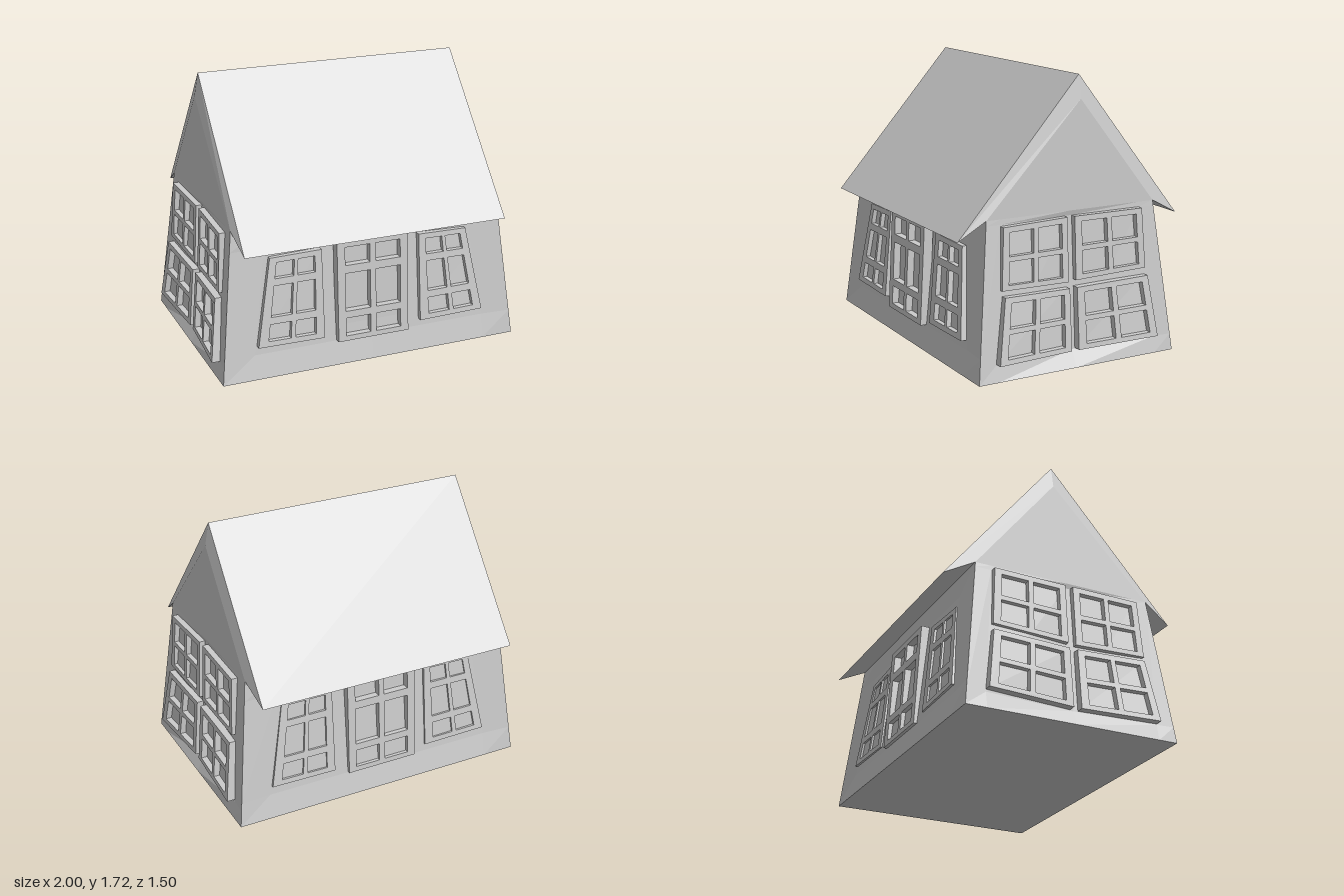
import * as THREE from 'three';

const material = new THREE.MeshStandardMaterial({ color: 0xcccccc, flatShading: true });

function addMesh(group, name, geometry) {
  const mesh = new THREE.Mesh(geometry, material);
  mesh.name = name;
  group.add(mesh);
}

// Flat-shaded sheet; rows run bottom to top, points left to right seen from outside
function sheet(rows) {
  const p = [];
  for (let r = 0; r < rows.length - 1; r++) {
    for (let c = 0; c < rows[r].length - 1; c++) {
      const a = rows[r][c], b = rows[r][c + 1], d = rows[r + 1][c], e = rows[r + 1][c + 1];
      p.push(...a, ...b, ...e, ...a, ...e, ...d);
    }
  }
  const g = new THREE.BufferGeometry();
  g.setAttribute('position', new THREE.Float32BufferAttribute(p, 3));
  g.computeVertexNormals();
  return g;
}

// Mirrored copies reverse each row so that faces stay outward
const mirrorX = (rows, s) =>
  s > 0 ? rows : rows.map(row => row.map(([x, y, z]) => [-x, y, z]).reverse());
const toBack = (rows, s, shift) =>
  s > 0 ? rows : rows.map(row => row.map(([x, y, z]) => [x, y, shift - z]).reverse());

// Skewed window frame with paned openings; rows = [[bottomLeft, bottomRight], [topLeft, topRight]]
function windowPanel(group, name, rows, us, vs, depth, inward) {
  const shape = new THREE.Shape([[0, 0], [1, 0], [1, 1], [0, 1]].map(q => new THREE.Vector2(...q)));
  for (const [u0, u1] of us) {
    for (const [v0, v1] of vs) {
      shape.holes.push(new THREE.Path(
        [[u0, v0], [u0, v1], [u1, v1], [u1, v0]].map(q => new THREE.Vector2(...q))));
    }
  }
  const [[a, b], [d, c]] = rows.map(row => row.map(q => new THREE.Vector3(...q)));
  const place = (u, v, w) => {
    const low = a.clone().lerp(b, u), high = d.clone().lerp(c, u);
    return low.lerp(high, v).addScaledVector(inward, (1 - w) * depth);
  };
  const frame = new THREE.ExtrudeGeometry(shape, { depth: 1, bevelEnabled: false });
  const pos = frame.attributes.position;
  for (let i = 0; i < pos.count; i++) {
    const q = place(pos.getX(i), pos.getY(i), pos.getZ(i));
    pos.setXYZ(i, q.x, q.y, q.z);
  }
  frame.computeVertexNormals();
  addMesh(group, name + 'Frame', frame);
  const pane = (u, v) => place(u, v, 0.25).toArray();
  addMesh(group, name + 'Pane', sheet([
    [pane(0.03, 0.03), pane(0.97, 0.03)],
    [pane(0.03, 0.97), pane(0.97, 0.97)]]));
}

export function createModel() {
  const house = new THREE.Group();
  house.name = 'house';

  // Sloping corner edges of the body
  const H = 0.93;
  const ex = y => 0.97 - 0.1 * y / H;
  const ez = y => 0.68 - 0.1 * y / H;
  const bz = y => 0.02 - ez(y);

  // Front and back walls, slightly dished
  const wallRow = (y, inX, inZ) => [
    [-ex(y), y, ez(y)], [-inX, y, inZ], [0, y, inZ], [inX, y, inZ], [ex(y), y, ez(y)]];
  const longWall = [
    wallRow(0, 0.76, 0.68), wallRow(0.15, 0.76, 0.65),
    wallRow(0.8, 0.67, 0.582), wallRow(H, 0.66, 0.58)];
  addMesh(house, 'frontWall', sheet(longWall));
  addMesh(house, 'backWall', sheet(toBack(longWall, -1, 0.02)));

  // End walls, bowed in at the middle
  const endRow = (y, zF, zB, xOut, xMid) => [
    [ex(y), y, ez(y)], [xOut, y, zF], [xMid, y, 0.03], [xOut, y, zB], [ex(y), y, bz(y)]];
  const endWall = [
    endRow(0, 0.56, -0.53, 0.97, 0.97), endRow(0.1, 0.56, -0.53, 0.95, 0.915),
    endRow(0.9, 0.49, -0.46, 0.872, 0.862), endRow(H, 0.49, -0.46, 0.87, 0.87)];

  // Roof section points
  const eF = [0.845, 0.82, 0.75], eB = [0.845, 0.83, -0.75], ridge = [0.845, 1.72, -0.04];
  const gF = [0.87, H, 0.58], gB = [0.87, H, -0.56], gTop = [0.87, 1.58, -0.04];
  const flip = ([x, y, z]) => [-x, y, z];

  for (const s of [1, -1]) {
    const side = s > 0 ? 'left' : 'right';
    addMesh(house, side + 'Wall', sheet(mirrorX(endWall, s)));
    addMesh(house, side + 'Gable', sheet(mirrorX([[gF, gB], [gTop, gTop]], s)));
    addMesh(house, side + 'FrontBargeboard', sheet(mirrorX([[eF, gF], [ridge, gTop]], s)));
    addMesh(house, side + 'BackBargeboard', sheet(mirrorX([[gB, eB], [gTop, ridge]], s)));

    // Four skewed windows on each end wall
    const windows = {
      UpperFront: [[[0.93, 0.525, 0.51], [0.92, 0.515, 0.06]], [[0.91, 0.89, 0.49], [0.9, 0.9, 0.06]]],
      UpperBack: [[[0.92, 0.52, 0.01], [0.93, 0.535, -0.475]], [[0.9, 0.9, 0.01], [0.91, 0.9, -0.455]]],
      LowerFront: [[[1, 0.105, 0.56], [0.965, 0.105, 0.06]], [[0.95, 0.49, 0.5], [0.935, 0.48, 0.06]]],
      LowerBack: [[[0.965, 0.105, 0.01], [1, 0.115, -0.53]], [[0.935, 0.48, 0.01], [0.95, 0.49, -0.48]]],
    };
    for (const [key, rows] of Object.entries(windows)) {
      windowPanel(house, side + key + 'Window', mirrorX(rows, s),
        [[0.1, 0.47], [0.54, 0.91]], [[0.08, 0.45], [0.53, 0.91]], 0.05, new THREE.Vector3(-s, 0, 0));
    }
  }

  // Roof slopes, eave undersides and floor
  addMesh(house, 'frontRoof', sheet([[flip(eF), eF], [flip(ridge), ridge]]));
  addMesh(house, 'backRoof', sheet([[eB, flip(eB)], [ridge, flip(ridge)]]));
  addMesh(house, 'frontEave', sheet([[flip(gF), gF], [flip(eF), eF]]));
  addMesh(house, 'backEave', sheet([[gB, flip(gB)], [eB, flip(eB)]]));
  addMesh(house, 'floor', sheet([
    [[-0.97, 0, -0.66], [0.97, 0, -0.66]], [[-0.97, 0, 0.68], [0.97, 0, 0.68]]]));

  // Door with a leaning window on each side, front and back
  const door = [
    [[-0.235, 0.155, 0.69], [0.23, 0.155, 0.69]], [[-0.235, 0.79, 0.655], [0.23, 0.79, 0.655]]];
  const slant = [
    [[0.32, 0.195, 0.675], [0.745, 0.205, 0.68]], [[0.32, 0.75, 0.625], [0.645, 0.74, 0.615]]];
  for (const s of [1, -1]) {
    const face = s > 0 ? 'front' : 'back';
    const inward = new THREE.Vector3(0, 0, -s);
    windowPanel(house, face + 'Door', toBack(door, s, 0.04),
      [[0.11, 0.46], [0.54, 0.89]], [[0.05, 0.23], [0.3, 0.68], [0.76, 0.94]], 0.06, inward);
    for (const m of [1, -1]) {
      windowPanel(house, face + (m > 0 ? 'Left' : 'Right') + 'Window',
        toBack(mirrorX(slant, m), s, 0.04),
        [[0.14, 0.48], [0.55, 0.87]], [[0.06, 0.25], [0.33, 0.68], [0.76, 0.94]], 0.04, inward);
    }
  }
  return house;
}
